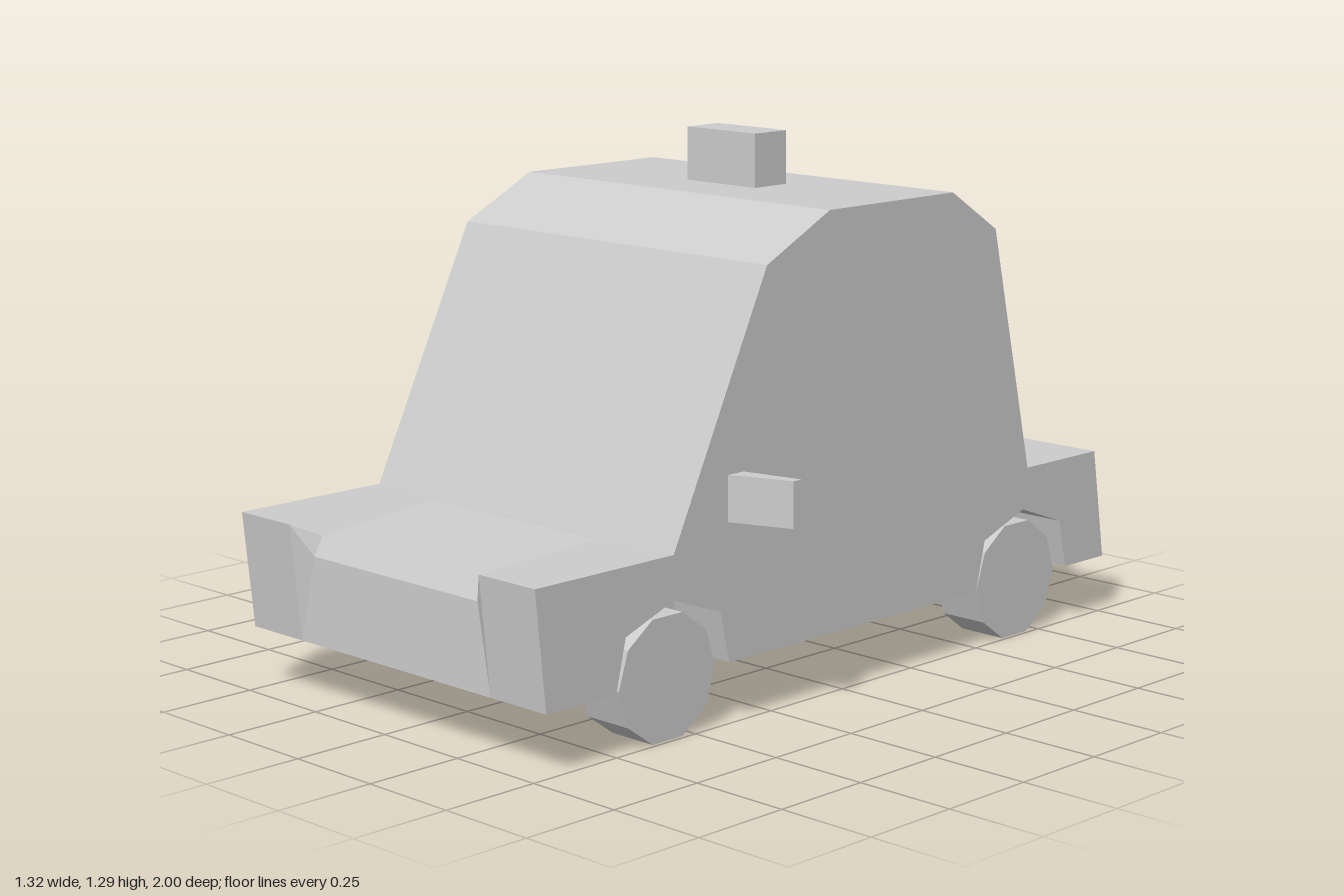
import * as THREE from 'three';
import { ConvexGeometry } from 'three/addons/geometries/ConvexGeometry.js';

const material = new THREE.MeshStandardMaterial({ color: 0xcccccc, flatShading: true });

const HALF = 0.51;      // half width of the body
const INNER = 0.36;     // inner wall of the wheel arches
const FENDER = 0.285;   // inner edge of the fenders
const AXLES = [0.58, -0.665];

export function createModel() {
  const model = new THREE.Group();
  model.name = 'car';

  const add = (name, geometry) => {
    const mesh = new THREE.Mesh(geometry, material);
    mesh.name = name;
    model.add(mesh);
    return mesh;
  };

  // Solid from a side profile of [z, y] points, spanning x0 to x1
  const slab = (profile, x0, x1) => {
    const shape = new THREE.Shape(profile.map(([z, y]) => new THREE.Vector2(z, y)));
    const geometry = new THREE.ExtrudeGeometry(shape, { depth: x1 - x0, bevelEnabled: false });
    return geometry.rotateY(-Math.PI / 2).translate(x1, 0, 0);
  };

  const hull = (points) => new ConvexGeometry(points.map((p) => new THREE.Vector3(...p)));

  const cabin = [
    [0.58, 0.435], [0.28, 1.055], [0.07, 1.16],
    [-0.37, 1.16], [-0.535, 1.055], [-0.68, 0.435],
  ];

  // Wheel arch outline, running from back to front
  const arch = (z) => [
    [z - 0.18, 0.15], [z - 0.15, 0.275], [z, 0.33], [z + 0.15, 0.275], [z + 0.18, 0.15],
  ];

  // Middle of the body with the lowered hood and trunk
  add('bodyCore', slab([
    [0.97, 0.15], [0.965, 0.36], [0.94, 0.405], [0.6, 0.435],
    ...cabin,
    [-0.72, 0.435], [-0.87, 0.41], [-0.93, 0.36], [-1, 0.15],
  ], -INNER, INNER));

  // Outer sides with the wheel arches cut out
  const side = [
    [0.97, 0.15], [1, 0.435], ...cabin, [-0.955, 0.435], [-1, 0.15],
    ...arch(AXLES[1]), ...arch(AXLES[0]),
  ];
  add('leftSide', slab(side, INNER, HALF));
  add('rightSide', slab(side, -HALF, -INNER));

  for (const s of [1, -1]) {
    const label = s > 0 ? 'left' : 'right';

    // Front fender, flaring outwards towards the nose
    add(label + 'FrontFender', hull([
      [s * FENDER, 0.435, 0.6], [s * 0.33, 0.435, 1], [s * FENDER, 0.405, 0.94],
      [s * FENDER, 0.36, 0.965], [s * 0.33, 0.15, 0.97], [s * FENDER, 0.2, 0.6],
      [s * INNER, 0.435, 0.6], [s * INNER, 0.435, 1], [s * INNER, 0.15, 0.97],
      [s * INNER, 0.2, 0.6],
    ]));

    // Rear fender with a straight inner wall
    const rear = [[-0.7, 0.435], [-0.955, 0.435], [-1, 0.15], [-0.7, 0.2]];
    const span = [s * FENDER, s * INNER].sort((a, b) => a - b);
    add(label + 'RearFender', slab(rear, ...span));

    // Tapered, swept-back mirror
    const mirror = [];
    for (const y of [0.48, 0.59]) {
      for (const [x, z] of [[0.5, 0.357], [0.5, 0.409], [0.66, 0.35], [0.66, 0.323]]) {
        mirror.push([s * x, y, z]);
      }
    }
    add(label + 'Mirror', hull(mirror));

    // Ten-sided wheels
    AXLES.forEach((z, i) => {
      const wheel = add(label + (i ? 'Rear' : 'Front') + 'Wheel',
        new THREE.CylinderGeometry(0.153, 0.153, 0.13, 10).rotateZ(Math.PI / 2));
      wheel.position.set(s > 0 ? 0.425 : -0.437, 0.1455, z);
    });
  }

  // Roof lamp
  add('roofLamp', new THREE.BoxGeometry(0.23, 0.14, 0.11)).position.set(0, 1.222, -0.152);

  return model;
}
